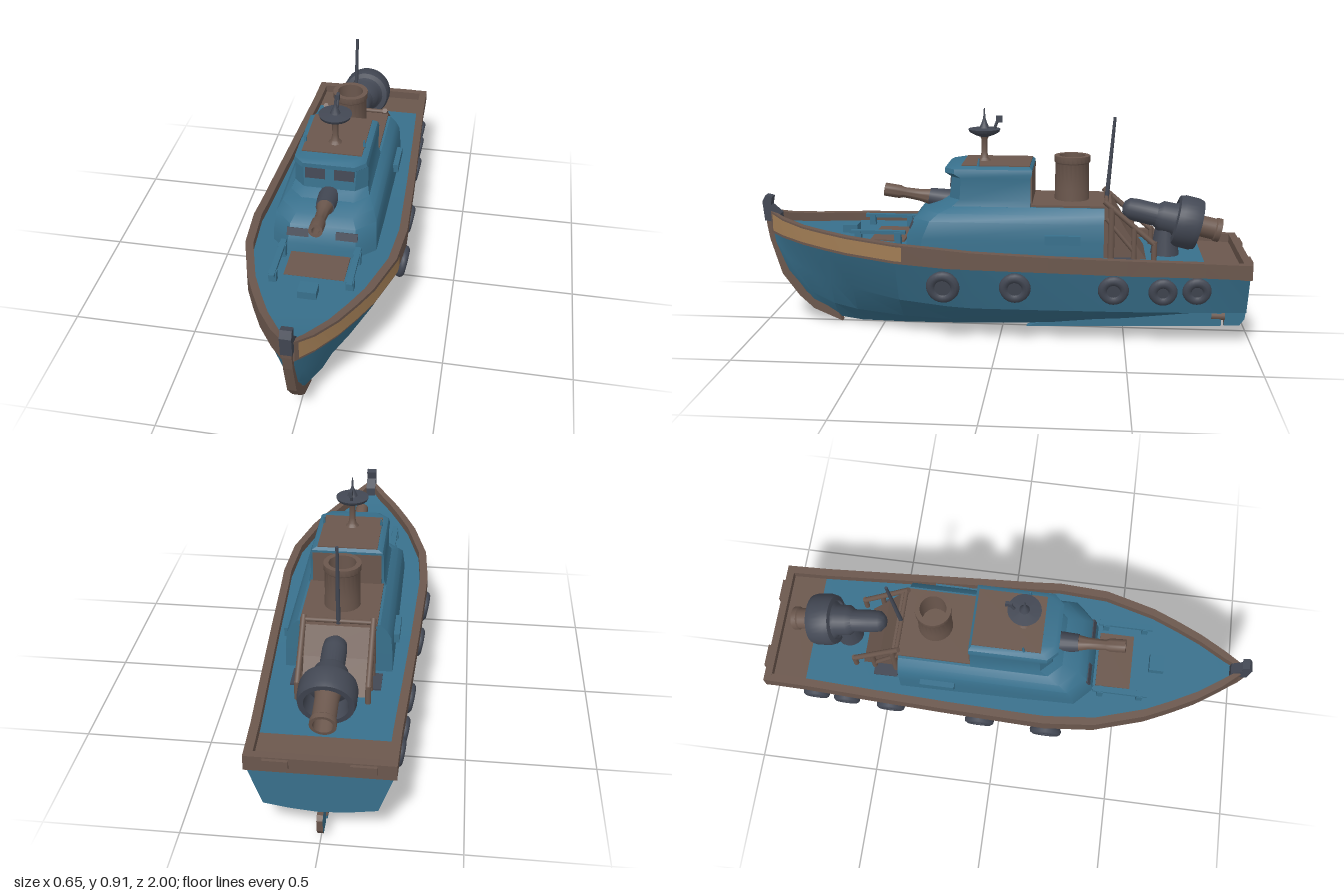
import * as THREE from 'three';
import { toCreasedNormals } from 'three/addons/utils/BufferGeometryUtils.js';

const paint = (name, color) => Object.assign(new THREE.MeshStandardMaterial({ color }), { name });
const V = (x, y, z) => new THREE.Vector3(x, y, z);

// Hull stations: z, rail half width, rail top, rail bottom, chine half width, chine y, keel y
const STATIONS = [
  [-0.97, .262, .357, .300, .200, .150, .125],
  [-0.80, .266, .362, .305, .215, .150, .100],
  [-0.50, .281, .370, .310, .230, .150, .050],
  [-0.20, .295, .380, .320, .235, .150, .020],
  [0.10, .306, .395, .328, .235, .150, .010],
  [0.20, .310, .405, .332, .232, .155, .008],
  [0.40, .294, .418, .343, .208, .170, .006],
  [0.60, .235, .430, .355, .150, .195, .010],
  [0.70, .190, .437, .362, .115, .215, .025],
  [0.80, .140, .445, .370, .075, .240, .075],
  [0.90, .075, .460, .380, .035, .285, .190],
  [0.965, .022, .480, .390, .012, .365, .345],
];

// Station values interpolated at any z
function stationAt(z) {
  let i = 0;
  while (i < STATIONS.length - 2 && STATIONS[i + 1][0] < z) i++;
  const a = STATIONS[i], b = STATIONS[i + 1], t = (z - a[0]) / (b[0] - a[0]);
  return a.map((v, k) => v + (b[k] - v) * t);
}

// Skin over a row of cross-sections, each counterclockwise seen from the end of the row
function loft(rings, { closed = true, caps = true, crease = 0.5 } = {}) {
  const pos = [], n = rings[0].length;
  const tri = (a, b, c) => pos.push(...a, ...b, ...c);
  for (let i = 0; i < rings.length - 1; i++) {
    for (let j = 0; j < (closed ? n : n - 1); j++) {
      const k = (j + 1) % n, p = rings[i], q = rings[i + 1];
      tri(p[j], p[k], q[k]);
      tri(p[j], q[k], q[j]);
    }
  }
  if (caps) {
    const first = rings[0], last = rings[rings.length - 1];
    for (let j = 1; j < n - 1; j++) {
      tri(first[0], first[j + 1], first[j]);
      tri(last[0], last[j], last[j + 1]);
    }
  }
  const g = new THREE.BufferGeometry();
  g.setAttribute('position', new THREE.Float32BufferAttribute(pos, 3));
  return toCreasedNormals(g, crease);
}

// Plan outline with chamfered front corners
const plan = (y, hw, zf, zb, ch) => [
  [-hw + ch, y, zf], [hw - ch, y, zf], [hw, y, zf - ch], [hw, y, zb], [-hw, y, zb], [-hw, y, zf - ch],
];

// Side outline given as (z, y), given a width across x
function sidePlate(points, width) {
  const shape = new THREE.Shape(points.map(([z, y]) => new THREE.Vector2(z, y)));
  return new THREE.ExtrudeGeometry(shape, { depth: width, bevelEnabled: false })
    .rotateY(-Math.PI / 2).translate(width / 2, 0, 0);
}

export function createModel() {
  const boat = new THREE.Group();
  boat.name = 'tugboat';
  const blue = paint('hull blue', 0x38708c);
  const brown = paint('weathered brown', 0x6b574d);
  const grey = paint('dark grey', 0x434854);
  const tan = paint('bare tan', 0xa07c54);

  const add = (name, geometry, material, parent = boat) => {
    const m = new THREE.Mesh(geometry, material);
    m.name = name;
    parent.add(m);
    return m;
  };
  const box = (name, mat, w, h, d, x, y, z) => {
    const m = add(name, new THREE.BoxGeometry(w, h, d), mat);
    m.position.set(x, y, z);
    return m;
  };
  const aim = (m, a, b) => {
    m.quaternion.setFromUnitVectors(V(0, 1, 0), b.clone().sub(a).normalize());
    return m;
  };
  const rod = (name, mat, a, b, r0, r1 = r0, sides = 10) => {
    const m = aim(add(name, new THREE.CylinderGeometry(r1, r0, a.distanceTo(b), sides), mat), a, b);
    m.position.copy(a).lerp(b, 0.5);
    return m;
  };
  const lathe = (pts, sides = 24) => toCreasedNormals(
    new THREE.LatheGeometry(pts.map(([r, y]) => new THREE.Vector2(r, y)), sides), 0.7);

  // Hull with chine and bilge
  add('hull', loft(STATIONS.map(([z, w, , yb, cw, cy, ky]) => {
    const half = [[cw * .55, ky + (cy - ky) * .4, z], [cw, cy, z], [w - .008, yb + .005, z]];
    return [[0, ky, z], ...half, ...half.map(([x, y, zz]) => [-x, y, zz]).reverse()];
  }), { crease: 0.35 }), blue);

  // Raised gunwale on both sides and across the stern
  for (const s of [1, -1]) {
    add('gunwale', loft(STATIONS.map(([z, w, yt, yb]) => {
      const inner = Math.max(w - .032, .002);
      const ring = [[w * s, yb, z], [w * s, yt, z], [inner * s, yt, z], [inner * s, yb, z]];
      return s > 0 ? ring : ring.reverse();
    })), brown);
  }
  box('stern rail', brown, .524, .06, .03, 0, .328, -.962);
  for (const x of [-.15, .15]) box('stern fender', brown, .09, .035, .02, x, .335, -.978);

  // Worn band on the left bow
  const bandZ = [.37, .4, .6, .7, .8, .9, .955];
  add('bow band', loft(bandZ.map((z) => {
    const [, w, yt, yb] = stationAt(z);
    return [[w + .005, yb + .012, z], [w + .005, yt - .006, z]];
  }), { closed: false, caps: false }), tan);

  // Deck, with a brown working area at the stern
  const deck = (name, zs, mat) => add(name, loft(zs.map((z) => {
    const [, w, yt] = stationAt(z), x = Math.max(w - .025, .004);
    return [[x, yt - .035, z], [-x, yt - .035, z]];
  }), { closed: false, caps: false }), mat);
  deck('stern deck', [-.96, -.81], brown);
  deck('main deck', [-.81, ...STATIONS.slice(2).map((s) => s[0])], blue);
  box('foredeck patch', brown, .23, .008, .14, 0, .388, .46);
  box('aft deck plate', grey, .34, .008, .1, 0, .337, -.48);

  // Stem, bow post, skeg and rudder
  add('stem', sidePlate([[.68, .008], [.8, .06], [.86, .115], [.93, .21], [.975, .36], [.985, .42], [.99, .48],
    [.94, .48], [.94, .35], [.9, .24], [.83, .13], [.7, .05]], .034), brown);
  add('bow post', sidePlate([[.992, .44], [1, .52], [.985, .547], [.958, .54], [.965, .505], [.925, .47], [.925, .43]], .042), grey);
  add('skeg', sidePlate([[-.9, .03], [-.1, .006], [-.2, .04], [-.6, .11], [-.9, .15]], .03), blue);
  add('rudder', sidePlate([[-.912, .03], [-.975, .032], [-.995, .06], [-1, .11], [-.985, .125], [-.935, .12], [-.925, .14], [-.912, .14]]
    .reverse(), .022), [blue, brown]);
  rod('rudder stock', brown, V(0, .12, -.925), V(0, .2, -.925), .014);
  rod('propeller shaft', brown, V(0, .07, -.86), V(0, .07, -.915), .02);

  // Tyre fenders
  for (const s of [1, -1]) {
    for (const [z, y, r] of [[.21, .255, .066], [-.07, .255, .062], [-.45, .25, .06], [-.64, .245, .056], [-.77, .25, .056]]) {
      const tyre = new THREE.Group();
      tyre.name = 'tyre fender';
      add('tyre', new THREE.TorusGeometry(r - .019, .019, 10, 24).rotateY(Math.PI / 2), grey, tyre);
      add('tyre hub', new THREE.CylinderGeometry(r - .018, r - .018, .022, 20).rotateZ(Math.PI / 2), grey, tyre);
      tyre.position.set(s * (stationAt(z)[1] - .012), y, z);
      tyre.rotation.z = -s * .18;
      boat.add(tyre);
    }
  }

  // Lower deckhouse with sloped shoulders
  add('deckhouse', loft([
    plan(.33, .205, .385, -.41, .07), plan(.42, .203, .375, -.41, .07), plan(.49, .197, .345, -.41, .07),
    plan(.52, .18, .31, -.41, .07), plan(.545, .155, .245, -.41, .06)], { crease: 0.7 }), blue);
  box('aft roof', brown, .29, .012, .3, 0, .547, -.265);
  add('aft companionway', sidePlate([[-.58, .335], [-.4, .335], [-.4, .55], [-.44, .55], [-.5, .45]], .24), brown);
  for (const s of [1, -1]) {
    box('side locker', blue, .03, .036, .14, s * .208, .43, -.25);
    const pane = box('lower window', grey, .085, .032, .008, s * .095, .462, .357);
    pane.rotation.x = -.4;
  }

  // Wheelhouse with a visor
  add('wheelhouse', loft([
    plan(.535, .158, .26, -.12, .06), plan(.57, .145, .205, -.12, .045), plan(.655, .144, .195, -.12, .04),
    plan(.672, .145, .222, -.125, .04), plan(.69, .139, .222, -.125, .04), plan(.7, .122, .205, -.115, .04)],
  { crease: 0.7 }), blue);
  box('wheelhouse roof', brown, .235, .008, .27, 0, .7, .02);
  box('wheelhouse back wall', brown, .27, .13, .008, 0, .615, -.122);
  for (const s of [1, -1]) {
    const pane = box('front window', grey, .078, .05, .008, s * .057, .636, .198);
    pane.rotation.x = -.1;
    rod('roof light', blue, V(s * .117, .69, .09), V(s * .115, .73, .085), .007, .003);
  }

  // Mast with radar dish
  const mast = add('mast', lathe([[.03, .7], [.016, .715], [.012, .74], [.012, .79], [.018, .803]]), brown);
  const dish = add('radar dish', lathe([[.014, .8], [.035, .807], [.06, .82], [.065, .832], [.02, .836], [.01, .86], [.005, .875], [.002, .915]]), grey);
  mast.position.z = dish.position.z = .075;
  rod('radar arm', grey, V(0, .832, .035), V(0, .875, .018), .006);
  box('radar sensor', grey, .012, .025, .026, 0, .872, .015);

  // Funnel, hollow at the top
  add('funnel', lathe([[.07, .54], [.068, .6], [.068, .7], [.072, .705], [.072, .73], [.052, .73], [.052, .6], [0, .6]]), brown)
    .position.z = -.28;
  rod('whip aerial', grey, V(0, .54, -.42), V(0, .885, -.447), .009, .006);

  // Forward water cannon
  const base = V(0, .535, .2), muzzle = V(0, .577, .485);
  rod('cannon collar', grey, base, base.clone().lerp(muzzle, .35), .045, .036, 18);
  const cannon = aim(add('cannon barrel', lathe([[.036, .08], [.024, .14], [.021, .21], [.027, .225], [.027, .288], [.015, .288], [.015, .24], [0, .24]]), brown), base, muzzle);
  cannon.position.copy(base);

  // Aft towing gun: rounded body, band and open barrel
  const tail = V(0, .522, -.485), mouth = V(0, .43, -.88);
  const gun = aim(new THREE.Group(), tail, mouth);
  gun.name = 'aft gun';
  gun.position.copy(tail);
  add('gun body', lathe([[0, 0], [.025, .006], [.042, .025], [.046, .06], [.046, .14], [.062, .16], [.064, .21], [.085, .235], [.05, .25]]), grey, gun);
  add('gun band', lathe([[.08, .215], [.1, .22], [.106, .24], [.106, .295], [.1, .315], [.08, .315], [.076, .29], [.076, .235], [.08, .215]], 32), grey, gun);
  add('gun barrel', lathe([[.05, .23], [.043, .29], [.043, .38], [.048, .385], [.048, .405], [.036, .405], [.036, .33], [0, .33]]), brown, gun);
  boat.add(gun);
  rod('gun pedestal', grey, V(0, .32, -.66), V(0, .47, -.66), .06, .035, 16);

  // Braced frames beside the aft gun
  for (const s of [1, -1]) {
    const x = s * .13;
    rod('frame brace', brown, V(x, .57, -.41), V(x, .4, -.61), .011);
    rod('frame lower brace', brown, V(x, .5, -.42), V(x, .37, -.53), .009);
    rod('frame post', brown, V(x, .335, -.44), V(x, .545, -.44), .013);
    rod('frame post', brown, V(x, .335, -.53), V(x, .465, -.53), .011);
    rod('frame foot', brown, V(x, .335, -.61), V(x, .41, -.61), .011);
  }
  rod('frame crossbar', brown, V(-.13, .56, -.42), V(.13, .56, -.42), .009);

  // Foredeck benches and hatch
  for (const s of [1, -1]) {
    box('bench bar', blue, .022, .014, .22, s * .145, .432, .49);
    for (const z of [.41, .57]) box('bench leg', blue, .03, .06, .025, s * .145, .405, z);
  }
  box('hatch', blue, .07, .04, .06, 0, .41, .63);
  return boat;
}
